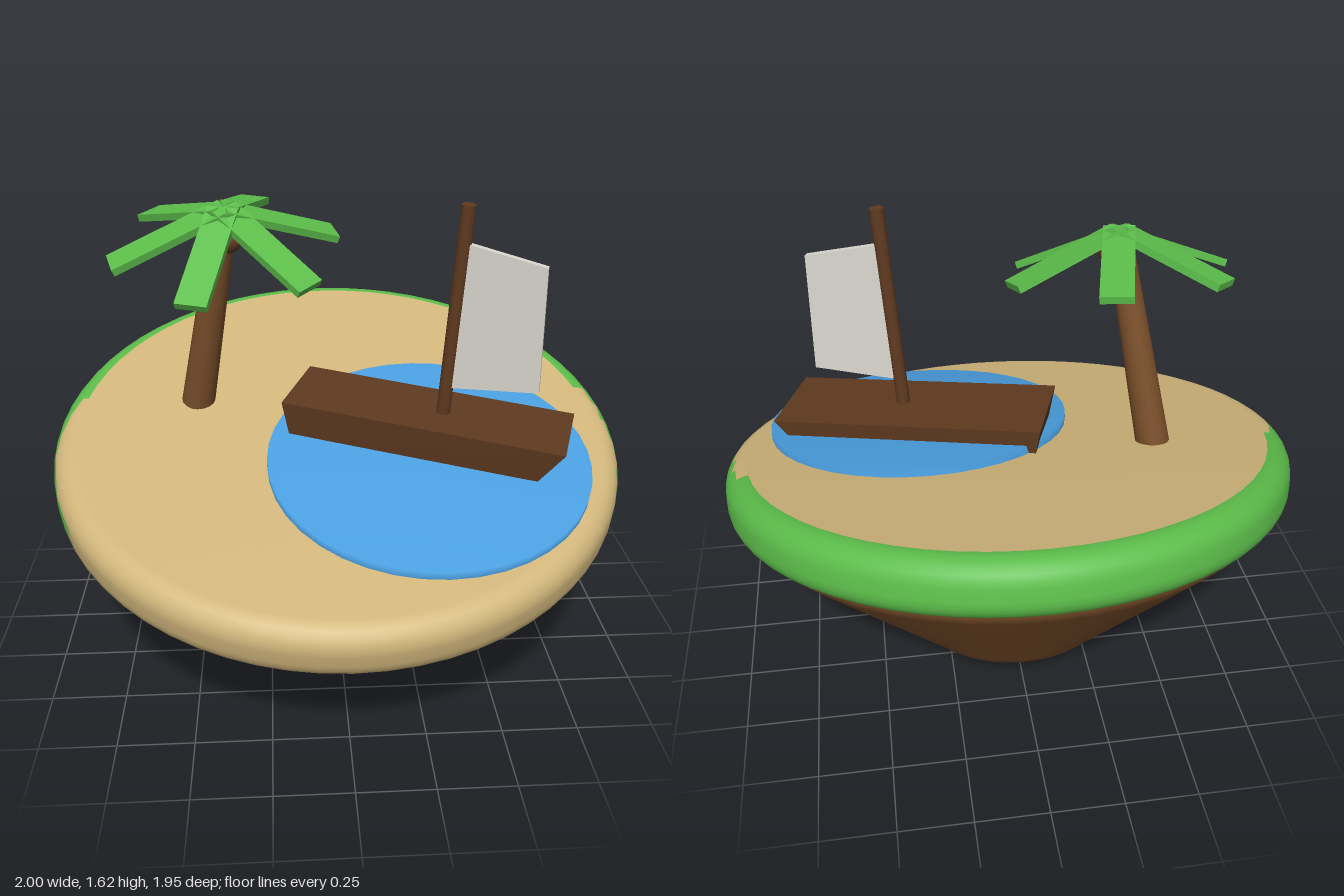
import * as THREE from 'three';

const material = (name, color, extra = {}) => {
  const m = new THREE.MeshStandardMaterial({ color, ...extra });
  m.name = name;
  return m;
};

export function createModel() {
  const sand = material('sand', 0xd2b77c);
  const grass = material('grass', 0x5cbd4a);
  const water = material('water', 0x4a9fe0);
  const earth = material('earth brown', 0x7a4f2a);
  const wood = material('dark wood', 0x5f3a20);
  const cloth = material('sail cloth', 0xdad6cf);

  const model = new THREE.Group();
  model.name = 'islandScene';
  const TILT = 0.245;

  const add = (parent, name, geometry, mat, x = 0, y = 0, z = 0) => {
    const mesh = new THREE.Mesh(geometry, mat);
    mesh.name = name;
    mesh.position.set(x, y, z);
    parent.add(mesh);
    return mesh;
  };
  const lathe = (points, sides) =>
    new THREE.LatheGeometry(points.map(([r, y]) => new THREE.Vector2(r, y)), sides);

  // Tilted island
  const island = new THREE.Group();
  island.name = 'island';
  island.position.y = 0.7;
  island.rotation.x = TILT;
  model.add(island);

  // Rounded rim: sand at the front, grass wrapped around the back
  const bevel = 0.08, steps = 6, profile = [[0, -0.1]];
  for (const [side, start] of [[-1, -Math.PI / 2], [1, 0]]) {
    for (let i = 0; i <= steps; i++) {
      const a = start + (i / steps) * (Math.PI / 2);
      profile.push([1 - bevel + bevel * Math.cos(a), side * (0.1 - bevel) + bevel * Math.sin(a)]);
    }
  }
  profile.push([0, 0.1]);
  const disc = lathe(profile, 64);
  const pos = disc.attributes.position, index = disc.index.array;
  const faces = [[], []];
  for (let f = 0; f < index.length; f += 3) {
    const tri = [index[f], index[f + 1], index[f + 2]];
    const mean = (get) => tri.reduce((s, v) => s + get(v), 0) / 3;
    const y = mean((v) => pos.getY(v)), z = mean((v) => pos.getZ(v));
    const limit = y > 0.03 ? 0.44 - ((y - 0.03) / 0.07) * 0.65 : y < -0.04 ? 0.3 : 0.44;
    const isRim = tri.every((v) => Math.hypot(pos.getX(v), pos.getZ(v)) > 0.9);
    faces[isRim && z < limit ? 1 : 0].push(...tri);
  }
  disc.setIndex([...faces[0], ...faces[1]]);
  disc.addGroup(0, faces[0].length, 0);
  disc.addGroup(faces[0].length, faces[1].length, 1);
  add(island, 'sandDisc', disc, [sand, grass]);

  // Earth cone underneath
  add(island, 'earthCone', lathe([
    [0, -0.65], [0.28, -0.65], [0.3, -0.649], [0.333, -0.635], [0.365, -0.605],
    [0.9, -0.14], [0.932, -0.11], [0.938, -0.09],
  ], 48), earth, 0, 0, -0.015);

  // Pond with softly shaded rim
  add(island, 'pond', lathe([[0.55, 0.09], [0.55, 0.13], [0, 0.13]], 40), water, 0.3, 0, 0.23);

  // Palm trunk between two points
  const base = new THREE.Vector3(-0.5, 0.83, -0.13);
  const tip = new THREE.Vector3(-0.37, 1.55, 0.02);
  const trunk = add(model, 'palmTrunk',
    new THREE.CylinderGeometry(0.043, 0.06, base.distanceTo(tip), 16), earth);
  trunk.position.copy(base).add(tip).multiplyScalar(0.5);
  trunk.quaternion.setFromUnitVectors(new THREE.Vector3(0, 1, 0), tip.clone().sub(base).normalize());

  add(model, 'coconut', new THREE.SphereGeometry(0.04, 16, 12), wood, -0.355, 1.475, 0.07);

  // Palm crown of six drooping leaves
  const crown = new THREE.Group();
  crown.name = 'palmCrown';
  crown.position.set(-0.372, 1.57, 0.03);
  crown.rotation.x = TILT;
  model.add(crown);
  for (let i = 0; i < 6; i++) {
    const leaf = new THREE.BoxGeometry(0.41, 0.025, 0.105);
    leaf.translate(0.205, 0, 0).rotateZ(-0.36);
    add(crown, 'palmLeaf', leaf, grass).rotation.y = 0.27 - (i * Math.PI) / 3;
  }

  // Boat
  const boat = new THREE.Group();
  boat.name = 'boat';
  boat.position.set(0.315, 0.893, 0.135);
  boat.rotation.set(0.04, -0.335, -0.08, 'YZX');
  model.add(boat);

  // Hull: box whose keel is pulled in, more at the bow
  const hull = new THREE.BoxGeometry(0.97, 0.14, 0.33).toNonIndexed();
  const hp = hull.attributes.position;
  for (let i = 0; i < hp.count; i++) {
    const bow = hp.getX(i) > 0;
    if (hp.getY(i) > 0) hp.setY(i, 0);
    else hp.setXYZ(i, bow ? 0.41 : -0.45, bow ? -0.12 : -0.15, hp.getZ(i) * 0.9);
  }
  hull.computeVertexNormals();
  add(boat, 'hull', hull, wood);

  add(boat, 'mast', new THREE.CylinderGeometry(0.024, 0.024, 0.76, 16), wood, 0.05, 0.35, 0.01);

  // Sail with slanted upper and lower edges
  const sailShape = new THREE.Shape([
    [0.065, 0.1], [0.36, 0.137], [0.325, 0.566], [0.06, 0.606],
  ].map(([x, y]) => new THREE.Vector2(x, y)));
  add(boat, 'sail', new THREE.ExtrudeGeometry(sailShape, { depth: 0.025, bevelEnabled: false }),
    cloth, 0, 0, -0.003);

  return model;
}
